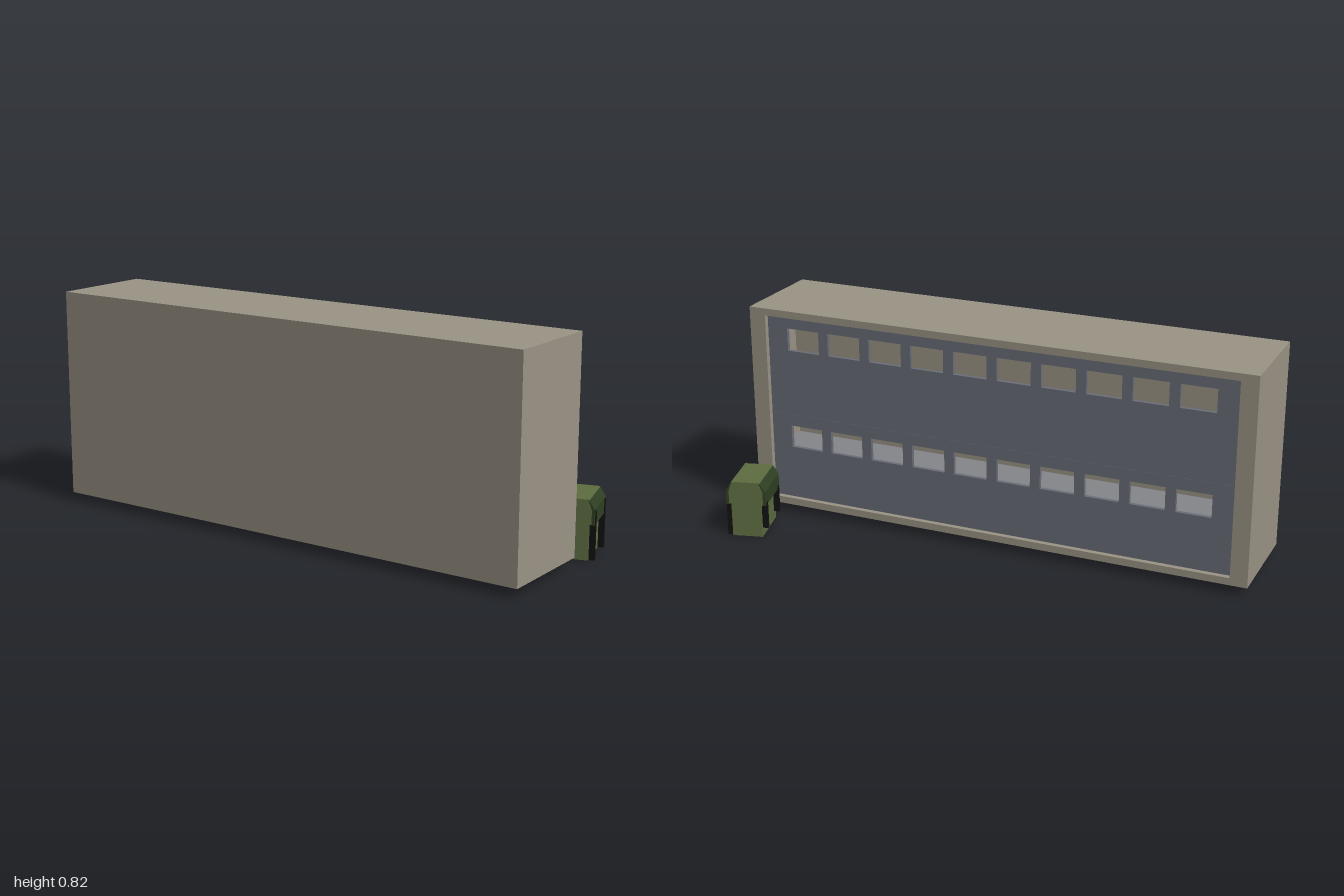
import * as THREE from 'three';

const mat = (color) => new THREE.MeshStandardMaterial({ color, flatShading: true });
const stone = mat(0x9b9485), blue = mat(0x6a6e79), grey = mat(0x85868a);
const olive = mat(0x5e6d42), darkGreen = mat(0x2f4023), black = mat(0x111111);

function add(parent, name, geometry, material, x = 0, y = 0, z = 0) {
  const mesh = new THREE.Mesh(geometry, material);
  mesh.name = name;
  mesh.position.set(x, y, z);
  parent.add(mesh);
  return mesh;
}
const box = (w, h, d) => new THREE.BoxGeometry(w, h, d);

// Rectangle outline by centre and size
function trace(path, cx, cy, w, h) {
  path.moveTo(cx - w / 2, cy - h / 2);
  path.lineTo(cx + w / 2, cy - h / 2);
  path.lineTo(cx + w / 2, cy + h / 2);
  path.lineTo(cx - w / 2, cy + h / 2);
  path.closePath();
  return path;
}
const extrude = (shape, depth) => new THREE.ExtrudeGeometry(shape, { depth, bevelEnabled: false });

function createBuilding() {
  const building = new THREE.Group();
  building.name = 'building';
  const W = 1.975, H = 0.79, cy = 0.43, innerW = W - 0.13, innerH = H - 0.055;

  // Hollow shell, open at the back
  const frame = trace(new THREE.Shape(), 0, cy, W, H);
  frame.holes.push(trace(new THREE.Path(), 0, cy, innerW, innerH));
  add(building, 'shell', extrude(frame, 0.22), stone, 0, 0, -0.06);
  add(building, 'frontWall', box(W, H, 0.18), stone, 0, cy, 0.25);

  // Recessed panel with two rows of ten windows
  const panel = trace(new THREE.Shape(), 0, cy, innerW, innerH);
  for (const y of [0.315, 0.707]) {
    for (let i = 0; i < 10; i++) {
      panel.holes.push(trace(new THREE.Path(), (i - 4.5) * 0.172, y, 0.133, 0.088));
    }
  }
  add(building, 'windowPanel', extrude(panel, 0.015), blue, 0, 0, -0.04);

  // Storeys inside, and the seam between them
  add(building, 'upperFloor', box(innerW, 0.03, 0.185), grey, 0, 0.39, 0.0675);
  add(building, 'lowerFloor', box(innerW, 0.19, 0.185), grey, 0, 0.158, 0.0675);
  add(building, 'floorSeam', box(innerW, 0.004, 0.004), blue, 0, 0.403, -0.039);

  building.position.x = -0.0125;
  return building;
}

function createChest() {
  const chest = new THREE.Group();
  chest.name = 'chest';
  const L = 0.187;

  // Body, wider where it carries the side flaps
  const half = [[0.058, 0], [0.058, 0.13], [0.07, 0.13], [0.07, 0.18], [0.054, 0.22]];
  const outline = [...half, ...half.map(([x, y]) => [-x, y]).reverse()];
  const profile = new THREE.Shape(outline.map(([x, y]) => new THREE.Vector2(x, y)));
  add(chest, 'body', extrude(profile, L), olive, 0, 0, -L / 2);

  for (const s of [1, -1]) {
    // Slanted flap along each long side
    const corners = [[0.066, 0.129], [0.077, 0.129], [0.076, 0.185], [0.056, 0.217], [0.053, 0.217], [0.066, 0.183]];
    const flap = new THREE.Shape(corners.map(([x, y]) => new THREE.Vector2(s * x, y)));
    add(chest, 'sideFlap', extrude(flap, L + 0.003), darkGreen, 0, 0, -L / 2 - 0.0015);

    // Two straps per side, long on the left
    for (const z of [-0.078, 0.078]) {
      const [bottom, top] = s > 0 ? [0, 0.18] : [0.035, 0.14];
      add(chest, 'strap', box(0.024, top - bottom, 0.015), black, s * 0.067, (top + bottom) / 2, z);
    }
  }
  chest.position.set(0.9, 0, -0.228);
  chest.rotation.y = 0.262;
  return chest;
}

export function createModel() {
  const model = new THREE.Group();
  model.name = 'model';
  model.add(createBuilding(), createChest());
  return model;
}
